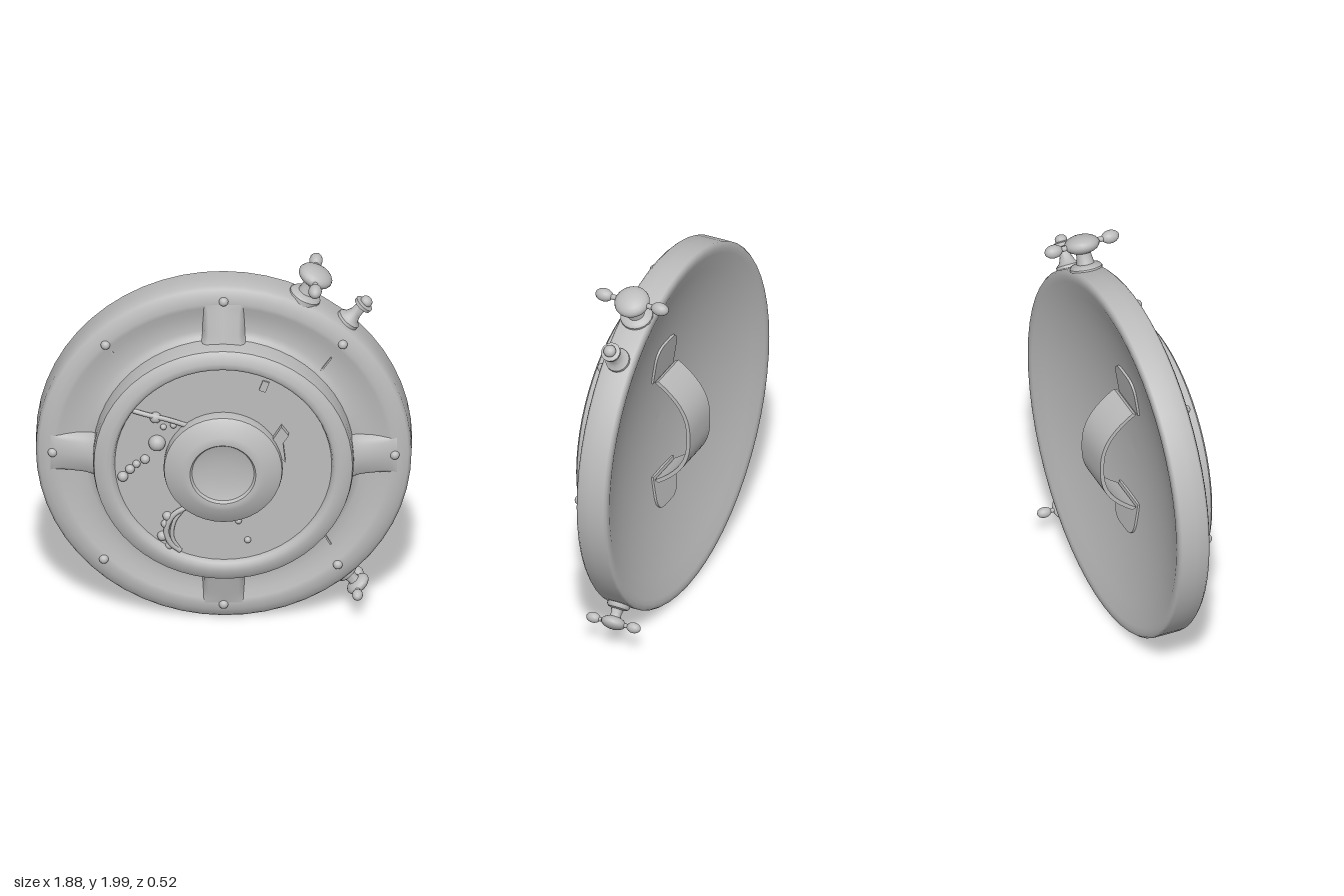
import * as THREE from 'three';
import { toCreasedNormals } from 'three/addons/utils/BufferGeometryUtils.js';

const metal = new THREE.MeshStandardMaterial({ color: 0xbcbcbc });
metal.name = 'greyMetal';

function add(parent, name, geometry, x = 0, y = 0, z = 0) {
  const mesh = new THREE.Mesh(geometry, metal);
  mesh.name = name;
  mesh.position.set(x, y, z);
  parent.add(mesh);
  return mesh;
}

// Turned shape about y from [radius, height] pairs, running outward then upward
function turned(points, segments) {
  return new THREE.LatheGeometry(points.map(([r, h]) => new THREE.Vector2(r, h)), segments);
}

// Turned shape facing the front, very slightly narrower than tall
function disc(points, segments) {
  return turned(points, segments).rotateX(Math.PI / 2).scale(0.984, 1, 1);
}

function ball(parent, name, x, y, z, r) {
  return add(parent, name, new THREE.SphereGeometry(r, 14, 10), x, y, z);
}

// Raised rib joining rim and inner ring: soft cross-section, flaring at both ends
function spokeGeometry() {
  const across = [[-1, 0.024, 0], [-1, 0.006, 0.8], [-1, -0.012, 1], [0, 0, 1], [1, -0.012, 1], [1, 0.006, 0.8], [1, 0.024, 0]];
  const geo = new THREE.PlaneGeometry(1, 1, 6, 10);
  const p = geo.attributes.position;
  for (let i = 0; i < p.count; i++) {
    const [side, extra, lift] = across[i % 7];
    const t = 0.5 - p.getY(i);
    const half = 0.088 + 0.022 * (2 * t - 1) ** 4 + extra;
    const top = 0.045 + 0.058 * t;
    p.setXYZ(i, side * half, 0.868 - 0.235 * t, top * lift);
  }
  return toCreasedNormals(geo, 1.0);
}

// Fitting standing on the rim, pointing outward; angle runs clockwise from the top
function rimFitting(parent, name, degrees) {
  const a = THREE.MathUtils.degToRad(degrees);
  const g = new THREE.Group();
  g.name = name;
  g.position.set(0.94 * Math.sin(a), 0.94 * Math.cos(a), -0.055);
  g.rotation.z = -a;
  parent.add(g);
  return g;
}

// Turn-knob: flanged stem, mushroom head and a lobe on either side
function turnKnob(parent, name, degrees, R, h, reach, lobe) {
  const g = rimFitting(parent, name, degrees);
  add(g, 'knobStem', toCreasedNormals(turned([[0, -0.03], [R * 0.92, -0.03], [R * 0.92, 0.02], [R * 0.8, 0.032],
    [R * 0.5, 0.038], [R * 0.42, h * 0.6], [R * 0.55, h], [0, h]], 20), 0.7));
  add(g, 'knobHead', new THREE.SphereGeometry(R, 20, 12), 0, h, 0).scale.y = 0.54;
  add(g, 'knobBar', new THREE.CylinderGeometry(lobe * 0.42, lobe * 0.42, reach * 2, 10).rotateX(Math.PI / 2), 0, h, 0);
  for (const s of [-1, 1]) ball(g, 'knobLobe', 0, h, s * reach, lobe).scale.z = 1.4;
}

function tube(parent, name, points, r) {
  const curve = new THREE.CatmullRomCurve3(points.map(([x, y, z]) => new THREE.Vector3(x, y, z)));
  add(parent, name, new THREE.TubeGeometry(curve, 24, r, 8));
}

export function createModel() {
  const model = new THREE.Group();
  model.name = 'roundShield';
  const shield = new THREE.Group();
  shield.name = 'shieldAssembly';
  shield.position.y = 0.963;
  model.add(shield);

  // Dished back running smoothly round the rim into the recessed band
  const shell = [];
  for (let i = 0; i <= 10; i++) {
    const r = 0.09 * i;
    shell.push([r, 0.024 - 0.2 * r * r]);
  }
  shell.push([0.925, -0.141], [0.947, -0.14], [0.957, -0.128], [0.957, -0.05], [0.956, 0.01], [0.94, 0.026],
    [0.905, 0.041], [0.868, 0.047], [0.845, 0.043], [0.81, 0.032], [0.76, 0.024], [0.71, 0.024], [0.68, 0.034], [0.655, 0.06]);
  add(shield, 'shieldShell', disc(shell, 56));

  // Inner ring and the plate sunk in it
  add(shield, 'innerRing', toCreasedNormals(disc([[0.668, 0.02], [0.664, 0.06], [0.664, 0.13], [0.658, 0.16], [0.638, 0.174],
    [0.6, 0.186], [0.575, 0.186], [0.56, 0.176], [0.552, 0.15], [0, 0.15]], 56), 0.75));

  // Central boss with a shallow dish
  add(shield, 'centreBoss', toCreasedNormals(disc([[0.3, 0.13], [0.304, 0.19], [0.3, 0.21], [0.285, 0.221], [0.21, 0.254],
    [0.185, 0.26], [0.168, 0.258], [0.158, 0.243], [0.12, 0.232], [0.06, 0.225], [0, 0.223]], 40), 0.55));

  // Four spokes and eight rim studs
  const spoke = spokeGeometry();
  for (let i = 0; i < 4; i++) add(shield, 'spoke', spoke).rotation.z = i * Math.PI / 2;
  const studs = [[0, 0.88], [0, -0.872], [0.857, 0], [-0.857, 0], [0.597, 0.637], [-0.592, 0.624], [0.572, -0.638], [-0.6, -0.616]];
  for (const [x, y] of studs) ball(shield, 'rimStud', x, y, 0.044, 0.024);

  // Knobs and peg on the rim
  turnKnob(shield, 'largeKnob', 25.2, 0.09, 0.138, 0.155, 0.034);
  turnKnob(shield, 'smallKnob', 140.2, 0.064, 0.108, 0.112, 0.027);
  const peg = rimFitting(shield, 'rimPeg', 40.7);
  add(peg, 'pegStem', toCreasedNormals(turned([[0, -0.03], [0.064, -0.03], [0.062, 0.024], [0.042, 0.04], [0.03, 0.07],
    [0.028, 0.118], [0.048, 0.122], [0.05, 0.14], [0.03, 0.146], [0, 0.146]], 18), 0.7));
  ball(peg, 'pegTip', 0, 0.155, 0, 0.032).scale.y = 0.85;

  // Tubes, beads and bolts on the front plate
  const f = 0.153;
  tube(shield, 'upperTube', [[-0.46, 0.31, f], [-0.38, 0.29, f + 0.01], [-0.28, 0.265, f + 0.012], [-0.17, 0.22, f]], 0.013);
  tube(shield, 'lowerTube', [[-0.17, -0.24, f], [-0.25, -0.29, f + 0.01], [-0.285, -0.38, f + 0.012],
    [-0.265, -0.45, f + 0.01], [-0.215, -0.5, f]], 0.014);
  tube(shield, 'lowerInnerTube', [[-0.2, -0.26, f], [-0.245, -0.33, f + 0.005], [-0.255, -0.42, f + 0.005], [-0.22, -0.49, f]], 0.01);
  const details = [[-0.34, 0.27, 0.03], [-0.332, 0.123, 0.043], [-0.392, 0.028, 0.024], [-0.435, 0.0, 0.02],
    [-0.467, -0.03, 0.024], [-0.503, -0.073, 0.027], [-0.28, -0.3, 0.024], [-0.29, -0.345, 0.022], [-0.305, -0.415, 0.026],
    [-0.27, -0.47, 0.02], [-0.3, 0.215, 0.016], [-0.25, 0.225, 0.016], [0.076, -0.325, 0.017], [0.122, -0.435, 0.017]];
  for (const [x, y, r] of details) ball(shield, 'plateBead', x, y, f, r);

  // Pointer fin beside the boss and a small tab near the ring
  const fin = new THREE.Shape([[0.24, 0.11], [0.312, 0.03], [0.3, 0.14], [0.328, 0.185], [0.292, 0.235], [0.25, 0.165]]
    .map(([x, y]) => new THREE.Vector2(x, y)));
  add(shield, 'pointerFin', new THREE.ExtrudeGeometry(fin, { depth: 0.04, bevelEnabled: false }), 0, 0, 0.142);
  add(shield, 'plateTab', new THREE.BoxGeometry(0.035, 0.06, 0.02), 0.205, 0.455, 0.149).rotation.z = -0.35;

  // Thin ridges in the recessed band
  for (const [x, y, turn] of [[0.515, 0.515, -0.6], [0.515, -0.49, 0.5], [-0.575, 0.6, 0.6]]) {
    add(shield, 'bandRidge', new THREE.BoxGeometry(0.008, 0.09, 0.024), x, y, 0.022).rotation.z = turn;
  }

  // Bowed grip on the back, sinking into the dish at both ends
  const bow = (y) => 0.21 - 0.07 * Math.abs(y / 0.21) ** 2.6;
  const strap = [];
  const n = 22, end = 0.3;
  for (let i = 0; i <= n; i++) {
    const y = end - 2 * end * i / n;
    strap.push(new THREE.Vector2(y, bow(y)));
  }
  for (let i = 0; i <= n; i++) {
    const y = -end + 2 * end * i / n;
    strap.push(new THREE.Vector2(y * 0.96, bow(y) - 0.02));
  }
  const strapGeo = new THREE.ExtrudeGeometry(new THREE.Shape(strap), { depth: 0.23, bevelEnabled: false });
  strapGeo.translate(0, 0, -0.115);
  strapGeo.applyMatrix4(new THREE.Matrix4().makeBasis(
    new THREE.Vector3(0, 1, 0), new THREE.Vector3(0, 0, -1), new THREE.Vector3(-1, 0, 0)));
  add(shield, 'gripStrap', toCreasedNormals(strapGeo, 0.6));

  // Rounded mounting pads following the dish
  const pad = new THREE.Shape();
  pad.moveTo(-0.115, -0.1);
  pad.lineTo(0.115, -0.1);
  pad.lineTo(0.115, 0.02);
  pad.quadraticCurveTo(0.11, 0.1, 0.04, 0.1);
  pad.lineTo(-0.04, 0.1);
  pad.quadraticCurveTo(-0.11, 0.1, -0.115, 0.02);
  const padGeo = new THREE.ExtrudeGeometry(pad, { depth: 0.024, bevelEnabled: false }).translate(0, 0, -0.012);
  for (const s of [1, -1]) {
    add(shield, 'gripPad', padGeo, 0, s * 0.378, -0.008).rotation.set(-s * 0.15, 0, s > 0 ? 0 : Math.PI);
  }
  return model;
}
